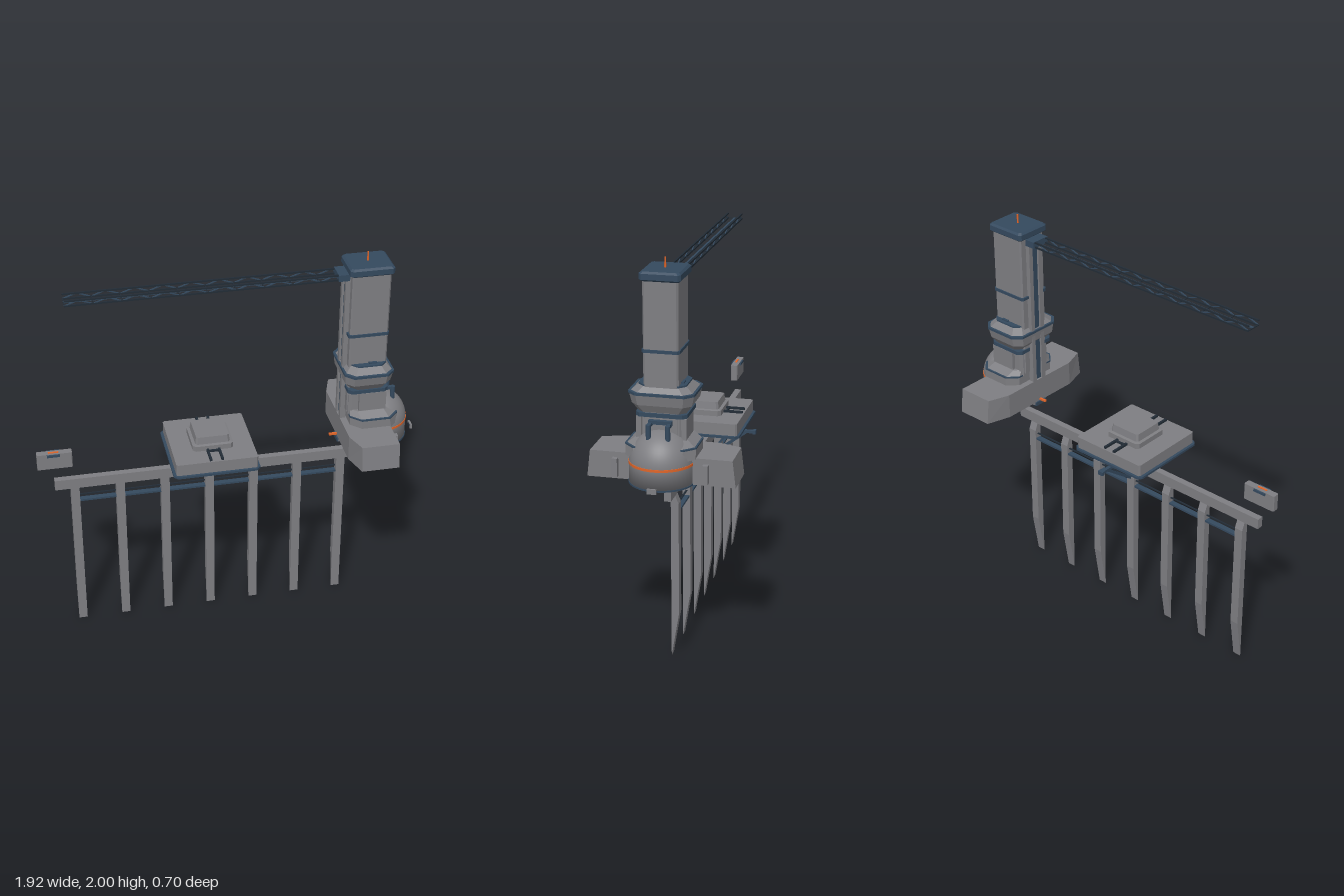
import * as THREE from 'three';

const mat = (name, color) => {
  const m = new THREE.MeshStandardMaterial({ color });
  m.name = name;
  return m;
};

export function createModel() {
  const grey = mat('hull grey', 0x7e7e82);
  const navy = mat('trim navy', 0x34495e);
  const dark = mat('dark metal', 0x222c36);
  const orange = mat('signal orange', 0xe0662a);
  const root = new THREE.Group();

  const group = (name) => {
    const g = new THREE.Group();
    g.name = name;
    root.add(g);
    return g;
  };
  const add = (parent, name, geo, m) => {
    const mesh = new THREE.Mesh(geo, m);
    mesh.name = name;
    parent.add(mesh);
    return mesh;
  };
  // Box given by its limits on each axis
  const box = (parent, name, m, x0, x1, y0, y1, z0, z1) => {
    const b = add(parent, name, new THREE.BoxGeometry(x1 - x0, y1 - y0, z1 - z0), m);
    b.position.set((x0 + x1) / 2, (y0 + y1) / 2, (z0 + z1) / 2);
    return b;
  };
  // Square bar between two points
  const bar = (parent, name, m, a, b, t) => {
    const p = new THREE.Vector3(...a), q = new THREE.Vector3(...b);
    const mesh = add(parent, name, new THREE.BoxGeometry(t, t, p.distanceTo(q)), m);
    mesh.position.copy(p).lerp(q, 0.5);
    mesh.lookAt(q);
    return mesh;
  };
  // Rectangle with cut corners, anticlockwise from above
  const ring = (x0, x1, h, c) => [
    [x1, h - c], [x1, c - h], [x1 - c, -h], [x0 + c, -h],
    [x0, c - h], [x0, h - c], [x0 + c, h], [x1 - c, h]];
  // Flat-sided solid through stacked sections [y, ring]
  const loft = (parent, name, m, sections) => {
    const pos = [], n = sections[0][1].length;
    const v = (s, i) => {
      const [x, z] = sections[s][1][i % n];
      pos.push(x, sections[s][0], z);
    };
    const last = sections.length - 1;
    for (let s = 0; s < last; s++) {
      for (let i = 0; i < n; i++) {
        v(s, i); v(s, i + 1); v(s + 1, i + 1);
        v(s, i); v(s + 1, i + 1); v(s + 1, i);
      }
    }
    for (let i = 1; i < n - 1; i++) {
      v(last, 0); v(last, i); v(last, i + 1);
      v(0, 0); v(0, i + 1); v(0, i);
    }
    const geo = new THREE.BufferGeometry();
    geo.setAttribute('position', new THREE.Float32BufferAttribute(pos, 3));
    geo.computeVertexNormals();
    return add(parent, name, geo, m);
  };
  const block = (parent, name, m, x0, x1, h, c, y0, y1) =>
    loft(parent, name, m, [[y0, ring(x0, x1, h, c)], [y1, ring(x0, x1, h, c)]]);

  // Rake: head beam, seven tapered tines and the rails joining them
  const rake = group('rake');
  box(rake, 'headBeam', grey, -0.885, 0.69, 0.84, 0.895, -0.022, 0.012);
  const side = new THREE.Shape([
    [0, 0], [0.038, 0.23], [0.038, 0.8], [0.012, 0.865], [0, 0.865],
  ].map(([x, y]) => new THREE.Vector2(x, y)));
  const tineGeo = new THREE.ExtrudeGeometry(side, { depth: 0.044, bevelEnabled: false });
  tineGeo.rotateY(Math.PI / 2).translate(-0.022, 0, 0);
  for (let i = -3; i <= 3; i++) {
    add(rake, 'tine', tineGeo, grey).position.x = -0.098 + i * 0.229;
  }
  box(rake, 'lowerRail', navy, -0.78, 0.585, 0.745, 0.755, -0.034, -0.006);
  box(rake, 'upperRail', dark, -0.78, 0.585, 0.777, 0.782, -0.024, -0.016);

  // Platform with raised hatch and clamps
  const deck = group('platform');
  block(deck, 'deckPlate', navy, -0.316, 0.12, 0.221, 0.02, 0.966, 0.977);
  block(deck, 'deck', grey, -0.302, 0.108, 0.208, 0.008, 0.977, 1.038);
  loft(deck, 'hatch', grey, [
    [1.038, ring(-0.2, 0.005, 0.103, 0.015)], [1.065, ring(-0.2, 0.005, 0.103, 0.015)],
    [1.068, ring(-0.185, -0.01, 0.088, 0.01)], [1.105, ring(-0.18, -0.015, 0.083, 0.01)]]);
  for (const s of [-1, 1]) {
    for (const x of [-0.128, -0.07]) {
      bar(deck, 'clampBar', dark, [x, 1.043, s * 0.1], [x, 1.043, s * 0.2], 0.012);
    }
    bar(deck, 'clampLink', dark, [-0.128, 1.046, s * 0.12], [-0.07, 1.046, s * 0.12], 0.01);
  }

  // Tapered post and rear bracket under the platform
  const bracket = group('bracket');
  loft(bracket, 'post', navy, [
    [0.825, ring(-0.112, -0.082, 0.008, 0.003)],
    [0.9, ring(-0.114, -0.08, 0.014, 0.003)],
    [0.97, ring(-0.122, -0.072, 0.024, 0.004)]]);
  box(bracket, 'bracketArm', navy, -0.106, -0.088, 0.928, 0.942, -0.262, 0.0);
  bar(bracket, 'bracketStrut', navy, [-0.097, 0.8, -0.04], [-0.097, 0.932, -0.215], 0.013);
  bar(bracket, 'bracketBrace', navy, [-0.097, 0.83, -0.05], [-0.097, 0.932, -0.13], 0.011);
  box(bracket, 'bracketEnd', navy, -0.112, -0.082, 0.925, 0.945, -0.265, -0.25);

  // Separate equipment case at the far end
  const gear = group('endCase');
  block(gear, 'case', grey, -0.965, -0.79, 0.018, 0.004, 0.975, 1.06);
  box(gear, 'caseClip', navy, -0.915, -0.85, 1.046, 1.058, -0.026, 0.026);
  box(gear, 'caseStripe', orange, -0.908, -0.856, 1.058, 1.063, -0.002, 0.008);

  // Lattice boom
  const boom = group('boom');
  for (const z of [-0.037, 0.037]) {
    for (const y of [1.881, 1.905]) {
      box(boom, 'chord', dark, -0.785, 0.575, y - 0.004, y + 0.004, z - 0.004, z + 0.004);
    }
    for (let i = 0; i < 20; i++) {
      const x = -0.785 + i * 0.068, up = i % 2;
      bar(boom, 'lacing', navy, [x, up ? 1.905 : 1.881, z], [x + 0.068, up ? 1.881 : 1.905, z], 0.005);
    }
  }
  box(boom, 'centreRail', navy, -0.785, 0.575, 1.879, 1.885, -0.005, 0.005);
  for (let i = 0; i <= 10; i++) {
    const x = -0.783 + i * 0.135;
    bar(boom, 'crossTie', dark, [x, 1.881, -0.037], [x, 1.881, 0.037], 0.005);
  }
  box(boom, 'boomMount', navy, 0.525, 0.58, 1.877, 1.91, -0.05, 0.05);

  // Tower shaft, bands, cap and mast
  const tower = group('tower');
  block(tower, 'shaft', grey, 0.585, 0.777, 0.082, 0.008, 1.16, 1.92);
  block(tower, 'shaftBand', navy, 0.576, 0.781, 0.088, 0.01, 1.583, 1.598);
  loft(tower, 'cap', navy, [
    [1.91, ring(0.58, 0.78, 0.086, 0.01)], [1.918, ring(0.57, 0.79, 0.096, 0.012)],
    [1.945, ring(0.57, 0.79, 0.096, 0.012)], [1.954, ring(0.58, 0.78, 0.086, 0.01)]]);
  const mast = add(tower, 'mast', new THREE.CylinderGeometry(0.004, 0.005, 0.046, 8), orange);
  mast.position.set(0.678, 1.977, 0);
  for (const z of [-0.032, 0.032]) {
    box(tower, 'guideRail', grey, 0.562, 0.59, 0.965, 1.895, z - 0.012, z + 0.012);
  }
  box(tower, 'guideChannel', navy, 0.572, 0.59, 0.965, 1.895, -0.022, 0.022);

  // Flared collar and neck
  loft(tower, 'collar', grey, [
    [1.3, ring(0.6, 0.775, 0.11, 0.03)], [1.34, ring(0.565, 0.795, 0.14, 0.035)],
    [1.392, ring(0.56, 0.805, 0.152, 0.04)], [1.43, ring(0.6, 0.77, 0.108, 0.03)]]);
  block(tower, 'collarBand', navy, 0.557, 0.808, 0.155, 0.04, 1.388, 1.4);
  block(tower, 'collarRim', navy, 0.598, 0.775, 0.112, 0.03, 1.426, 1.434);
  box(tower, 'collarVent', navy, 0.685, 0.725, 1.43, 1.44, -0.095, 0.095);
  block(tower, 'neckBand', navy, 0.58, 0.785, 0.12, 0.02, 1.283, 1.302);
  block(tower, 'neck', grey, 0.59, 0.775, 0.1, 0.015, 1.15, 1.285);
  for (const s of [-1, 1]) {
    box(tower, 'neckPanel', grey, 0.637, 0.775, 1.17, 1.28, s * 0.106 - 0.012, s * 0.106 + 0.012);
  }

  // Base body with swept ends and sloped shoulder
  const base = group('base');
  const wing = (e) => [
    [0.79, e], [0.79, -e], [0.6, -e], [0.562, -0.225], [0.562, 0.225], [0.6, e]];
  loft(base, 'body', grey, [[0.976, wing(0.35)], [1.105, wing(0.335)]]);
  loft(base, 'shoulder', grey, [
    [1.1, ring(0.595, 0.845, 0.165, 0.05)], [1.15, ring(0.595, 0.835, 0.165, 0.05)],
    [1.182, ring(0.6, 0.795, 0.12, 0.03)]]);
  block(base, 'shoulderBand', navy, 0.593, 0.838, 0.167, 0.05, 1.148, 1.155);

  // Round dome with stripe, foot ring and twin pipes
  const R = 0.152, cx = 0.763;
  const profile = [[0, 0.976], [R, 0.976], [R, 1.07]].map((p) => new THREE.Vector2(...p));
  for (let i = 1; i <= 14; i++) {
    const a = (i / 14) * Math.PI / 2;
    profile.push(new THREE.Vector2(Math.max(0, R * Math.cos(a)), 1.07 + 0.155 * Math.sin(a)));
  }
  add(base, 'dome', new THREE.LatheGeometry(profile, 40), grey).position.x = cx;
  const hoop = (name, m, r, y0, y1) => {
    const h = add(base, name, new THREE.CylinderGeometry(r, r, y1 - y0, 40), m);
    h.position.set(cx, (y0 + y1) / 2, 0);
  };
  hoop('domeStripe', orange, R + 0.002, 1.069, 1.081);
  hoop('footRing', navy, R + 0.003, 0.974, 0.982);
  for (const s of [-1, 1]) {
    const pipe = add(base, 'pipe', new THREE.CylinderGeometry(0.012, 0.012, 0.09, 12), navy);
    pipe.position.set(0.83, 1.217, s * 0.045);
    bar(base, 'pipeElbow', navy, [0.775, 1.255, s * 0.045], [0.832, 1.255, s * 0.045], 0.016);
    box(base, 'sideLug', grey, 0.785, 0.815, 0.99, 1.08, s * 0.213 - 0.013, s * 0.213 + 0.013);
  }
  box(base, 'pipeBridge', navy, 0.775, 0.8, 1.255, 1.272, -0.055, 0.055);

  // Coupling under the base and small detached sensor
  const coupling = group('coupling');
  box(coupling, 'couplingPlate', navy, 0.555, 0.6, 0.958, 0.978, -0.036, 0.036);
  box(coupling, 'couplingPin', dark, 0.582, 0.598, 0.935, 0.96, -0.016, 0.016);
  box(coupling, 'signalBar', orange, 0.522, 0.562, 0.981, 0.991, -0.006, 0.006);
  box(coupling, 'sensorPlate', grey, 0.946, 0.956, 0.978, 1.002, -0.022, 0.022);
  box(coupling, 'sensorStub', dark, 0.942, 0.947, 0.985, 0.996, -0.012, 0.012);

  return root;
}
